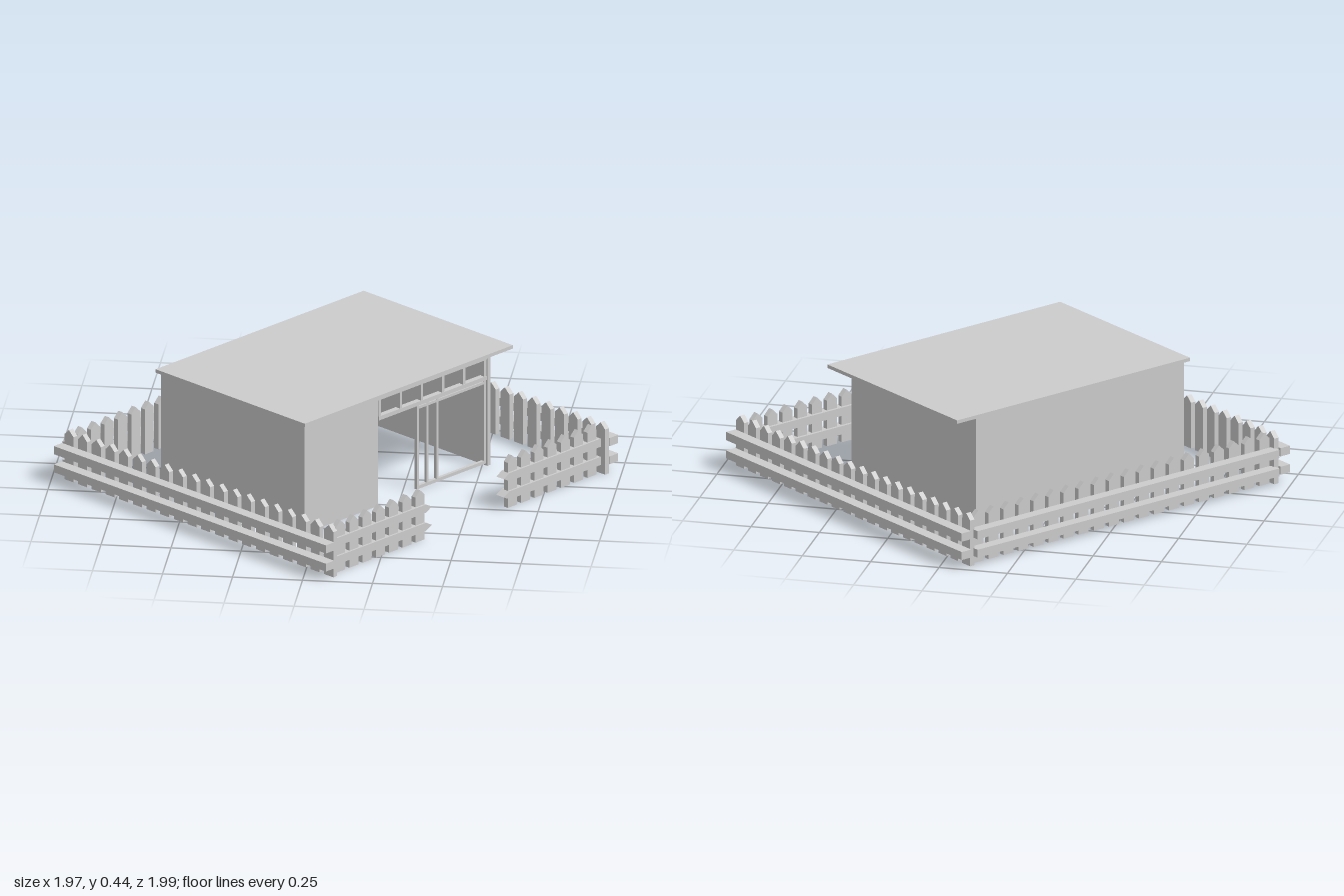
import * as THREE from 'three';

const plaster = new THREE.MeshStandardMaterial({ color: 0xcccccc });
plaster.name = 'pale grey';

// Box given by its min/max extents
function block(parent, name, x0, x1, y0, y1, z0, z1) {
  const m = new THREE.Mesh(new THREE.BoxGeometry(x1 - x0, y1 - y0, z1 - z0), plaster);
  m.position.set((x0 + x1) / 2, (y0 + y1) / 2, (z0 + z1) / 2);
  m.name = name;
  parent.add(m);
  return m;
}

// Upright board with a pointed end, standing on y = 0
function pointedBoard(width, length, point, depth) {
  const w = width / 2;
  const s = new THREE.Shape();
  s.moveTo(-w, 0);
  s.lineTo(w, 0);
  s.lineTo(w, length - point);
  s.lineTo(0, length);
  s.lineTo(-w, length - point);
  s.closePath();
  return new THREE.ExtrudeGeometry(s, { depth, bevelEnabled: false }).translate(0, 0, -depth / 2);
}

const RAILS = [[0.035, 0.065], [0.104, 0.135]];
const picketGeo = pointedBoard(0.045, 0.194, 0.022, 0.02);

function picket(parent, x, z, turned) {
  const m = new THREE.Mesh(picketGeo, plaster);
  m.position.set(x, 0, z);
  if (turned) m.rotation.y = Math.PI / 2;
  m.name = 'picket';
  parent.add(m);
}

function buildFence() {
  const fence = new THREE.Group();
  fence.name = 'fence';

  // Two side runs and the rear run: rails outside, pickets inside
  for (const [y0, y1] of RAILS) {
    block(fence, 'sideRail', -0.68, 0.673, y0, y1, 0.696, 0.738);
    block(fence, 'sideRail', -0.675, 0.672, y0, y1, -0.741, -0.698);
    block(fence, 'rearRail', -0.691, -0.65, y0, y1, -0.682, 0.682);
  }
  for (let i = 0; i < 20; i++) {
    const t = -0.646 + i * 0.068;
    picket(fence, t, 0.686, false);
    picket(fence, t, -0.688, false);
    picket(fence, -0.64, t, true);
  }

  // Front runs either side of the gateway, rails pointed towards the gap
  const railGeo = pointedBoard(0.031, 0.49, 0.03, 0.038);
  for (const s of [1, -1]) {
    const run = new THREE.Group();
    run.name = s > 0 ? 'frontFenceNear' : 'frontFenceFar';
    for (const [y0, y1] of RAILS) {
      const rail = new THREE.Mesh(railGeo, plaster);
      rail.quaternion.setFromRotationMatrix(new THREE.Matrix4().makeBasis(
        new THREE.Vector3(0, 1, 0), new THREE.Vector3(0, 0, -s), new THREE.Vector3(-s, 0, 0)));
      rail.position.set(0.634, (y0 + y1) / 2, s * 0.672);
      rail.name = 'frontRail';
      run.add(rail);
    }
    for (let i = 0; i < 7; i++) picket(run, 0.635, s * (0.233 + i * 0.067), true);
    fence.add(run);
  }
  return fence;
}

function buildHouse() {
  const house = new THREE.Group();
  house.name = 'house';
  const B = -0.4, F = 0.312, N = -0.46, P = 0.48, H = 0.427, T = 0.015;

  // Flat roof and solid walls; the floor is open
  block(house, 'roof', -0.402, 0.34, 0.427, 0.44, -0.546, 0.506);
  block(house, 'rearWall', B, B + T, 0, H, N, P);
  block(house, 'sideWall', B + T, F, 0, H, P - T, P);
  block(house, 'sideWall', B + T, F, 0, H, N, N + T);

  // Front: solid panel, top beam and lintel
  const z0 = N + T, z1 = P - T, gap = 0.1;
  block(house, 'frontPanel', F - 0.024, F - 0.008, 0, 0.412, gap, z1);
  block(house, 'topBeam', F - 0.024, F - 0.002, 0.405, H, z0, z1);
  block(house, 'lintel', F - 0.024, F - 0.002, 0.328, 0.343, z0, gap);

  // Clerestory window bars
  for (let i = 0; i <= 5; i++) {
    const z = z0 + 0.006 + i * (gap - z0 - 0.012) / 5;
    block(house, 'windowBar', F - 0.02, F - 0.004, 0.343, 0.405, z - 0.006, z + 0.006);
  }

  // Glazing frame beside the open doorway
  for (const z of [-0.1, -0.15, -0.2, z0 + 0.005])
    block(house, 'framePost', F - 0.018, F - 0.006, 0.01, 0.328, z - 0.005, z + 0.005);
  block(house, 'frameSill', F - 0.018, F - 0.006, 0.008, 0.02, z0, -0.095);
  block(house, 'frameHead', F - 0.018, F - 0.006, 0.313, 0.323, z0, -0.095);
  return house;
}

export function createModel() {
  const model = new THREE.Group();
  model.name = 'fencedHouse';
  const plot = new THREE.Group();
  plot.name = 'plot';
  plot.rotation.y = THREE.MathUtils.degToRad(-37.6);
  plot.add(buildHouse(), buildFence());
  model.add(plot);
  return model;
}
